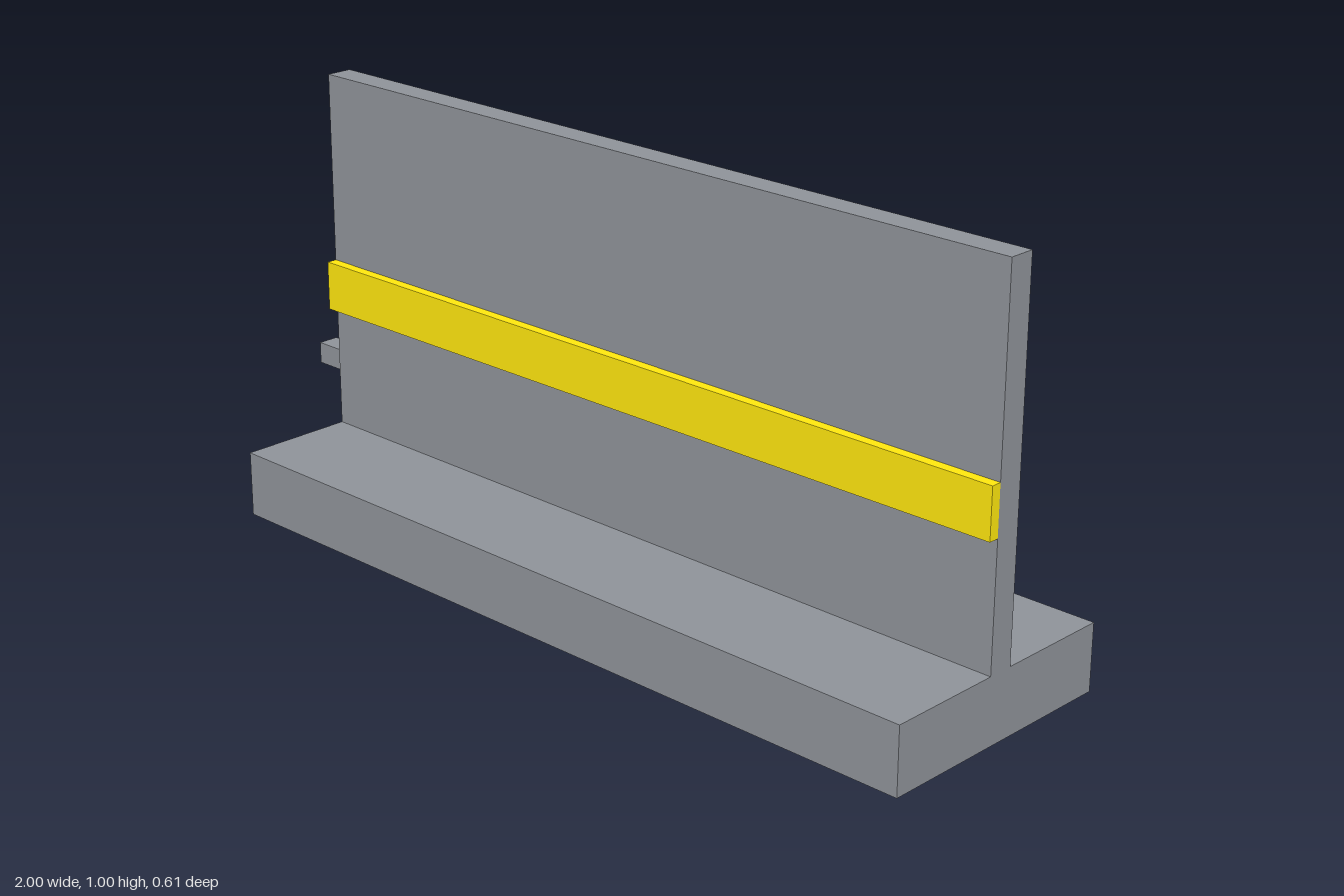
import * as THREE from 'three';

const slate = new THREE.MeshStandardMaterial({ color: 0x8f9399 });
const yellow = new THREE.MeshStandardMaterial({ color: 0xffe70e });

const LEFT = 1, RIGHT = -0.923; // ends of the barrier along x

// Box given by its lower and upper limits on each axis
function block(name, [x0, x1], [y0, y1], [z0, z1], material) {
  const mesh = new THREE.Mesh(new THREE.BoxGeometry(x1 - x0, y1 - y0, z1 - z0), material);
  mesh.position.set((x0 + x1) / 2, (y0 + y1) / 2, (z0 + z1) / 2);
  mesh.name = name;
  return mesh;
}

export function createModel() {
  const group = new THREE.Group();
  group.name = 'barrier';

  // Foot and upright wall as one inverted T section, extruded along x
  const foot = 0.307, footTop = 0.154, wall = 0.031;
  const section = new THREE.Shape([
    [-foot, 0], [foot, 0], [foot, footTop], [wall, footTop],
    [wall, 1], [-wall, 1], [-wall, footTop], [-foot, footTop],
  ].map(([z, y]) => new THREE.Vector2(z, y)));
  const bodyGeometry = new THREE.ExtrudeGeometry(section, { depth: LEFT - RIGHT, bevelEnabled: false });
  bodyGeometry.rotateY(Math.PI / 2);
  const body = new THREE.Mesh(bodyGeometry, slate);
  body.position.x = RIGHT;
  body.name = 'wallAndFoot';
  group.add(body);

  // Coloured band along the front of the wall
  group.add(block('stripe', [RIGHT, LEFT], [0.443, 0.558], [wall, 0.055], yellow));

  // Connecting peg on the right end
  group.add(block('peg', [-1, RIGHT], [0.283, 0.333], [-0.025, 0.025], slate));

  return group;
}
